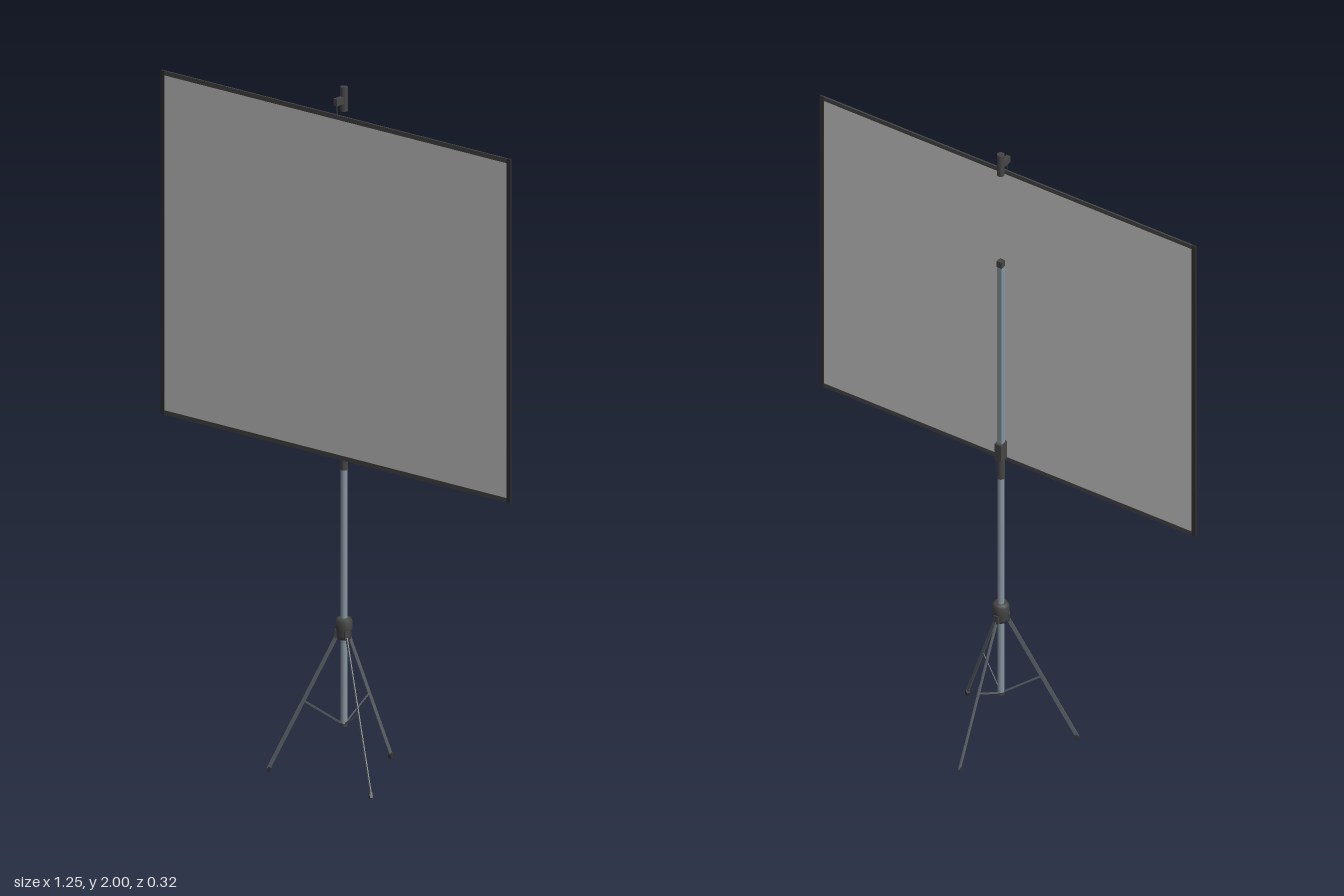
import * as THREE from 'three';

const dark = new THREE.MeshStandardMaterial({ color: 0x454545 });
const black = new THREE.MeshStandardMaterial({ color: 0x333333 });
const steel = new THREE.MeshStandardMaterial({ color: 0x8795a0 });
const legGrey = new THREE.MeshStandardMaterial({ color: 0x5c6268 });
const fabric = new THREE.MeshStandardMaterial({ color: 0xcccccc, side: THREE.DoubleSide });
const POLE_X = 0.003, POLE_Z = 0.05, SCREEN_Z = 0.081;

function add(parent, name, geometry, material, x = 0, y = 0, z = 0) {
  const mesh = new THREE.Mesh(geometry, material);
  mesh.name = name;
  mesh.position.set(x, y, z);
  parent.add(mesh);
  return mesh;
}

// Upright cylinder on the parent's axis, between two heights
function tube(parent, name, y0, y1, r0, r1, material, sides = 20) {
  return add(parent, name, new THREE.CylinderGeometry(r1, r0, y1 - y0, sides), material, 0, (y0 + y1) / 2, 0);
}

// Flat bar in the local x-y plane, between two points
function bar(parent, name, [x0, y0], [x1, y1], width, depth, material) {
  const length = Math.hypot(x1 - x0, y1 - y0);
  const mesh = add(parent, name, new THREE.BoxGeometry(length, width, depth), material, (x0 + x1) / 2, (y0 + y1) / 2, 0);
  mesh.rotation.z = Math.atan2(y1 - y0, x1 - x0);
  return mesh;
}

function createScreen() {
  const screen = new THREE.Group();
  screen.name = 'screen';
  screen.position.z = SCREEN_Z;
  const w = 1.248, y0 = 0.929, y1 = 1.926, edge = 0.013, mid = (y0 + y1) / 2;
  add(screen, 'fabric', new THREE.BoxGeometry(w - edge, y1 - y0 - edge, 0.002), fabric, 0, mid, 0);
  for (const s of [-1, 1]) {
    add(screen, 'sideBorder', new THREE.BoxGeometry(edge, y1 - y0, 0.005), black, s * (w - edge) / 2, mid, 0);
    add(screen, 'endBorder', new THREE.BoxGeometry(w - 2 * edge, edge, 0.005), dark, 0, mid + s * (y1 - y0 - edge) / 2, 0);
  }
  return screen;
}

function createStand() {
  const stand = new THREE.Group();
  stand.name = 'stand';
  stand.position.set(POLE_X, 0, POLE_Z);

  // Telescopic pole
  tube(stand, 'lowerPole', 0.15, 0.95, 0.0095, 0.0095, steel);
  add(stand, 'upperPole', new THREE.BoxGeometry(0.016, 0.665, 0.016), steel, 0, 1.2825, 0);
  add(stand, 'poleCap', new THREE.BoxGeometry(0.0165, 0.02, 0.0165), dark, 0, 1.625, 0);
  tube(stand, 'poleFoot', 0.147, 0.156, 0.01, 0.01, dark);

  // Sliding sleeve and handle behind the screen
  tube(stand, 'sleeve', 0.89, 0.96, 0.011, 0.012, dark);
  add(stand, 'sleeveHead', new THREE.BoxGeometry(0.022, 0.055, 0.03), dark, 0, 0.983, 0);

  // Leg hub
  const profile = [[0.008, 0.4], [0.018, 0.4], [0.021, 0.412], [0.021, 0.425], [0.024, 0.43],
    [0.024, 0.452], [0.019, 0.461], [0.008, 0.461]].map(([x, y]) => new THREE.Vector2(x, y));
  add(stand, 'hub', new THREE.LatheGeometry(profile, 12), dark);

  // Three legs with braces, the first pointing backwards
  [0.204, 0.211, 0.211].forEach((reach, i) => {
    const leg = new THREE.Group();
    leg.name = 'leg';
    leg.rotation.y = Math.PI / 2 + i * Math.PI * 2 / 3;
    bar(leg, 'legBar', [0.014, 0.42], [reach, 0.012], 0.011, 0.003, legGrey);
    bar(leg, 'brace', [0.006, 0.154], [reach * 0.525, 0.213], 0.005, 0.002, legGrey);
    add(leg, 'hinge', new THREE.BoxGeometry(0.018, 0.026, 0.014), dark, 0.016, 0.415, 0);
    const tip = bar(leg, 'footTip', [reach - 0.005, 0.02], [reach + 0.001, 0.006], 0.010, 0.009, black);
    tip.position.y = 0.0095;
    stand.add(leg);
  });
  return stand;
}

// Clamp that holds the top edge of the screen
function createTopClamp() {
  const clamp = new THREE.Group();
  clamp.name = 'topClamp';
  clamp.position.set(POLE_X, 0, POLE_Z);
  tube(clamp, 'clampBody', 1.93, 2, 0.0105, 0.0105, dark);
  add(clamp, 'clampArm', new THREE.BoxGeometry(0.013, 0.02, 0.034), dark, 0, 1.963, 0.021);
  add(clamp, 'hook', new THREE.CylinderGeometry(0.0015, 0.0015, 0.035, 6), dark, 0, 1.94, SCREEN_Z - POLE_Z);
  return clamp;
}

export function createModel() {
  const model = new THREE.Group();
  model.name = 'projectionScreen';
  model.add(createScreen(), createStand(), createTopClamp());
  return model;
}
